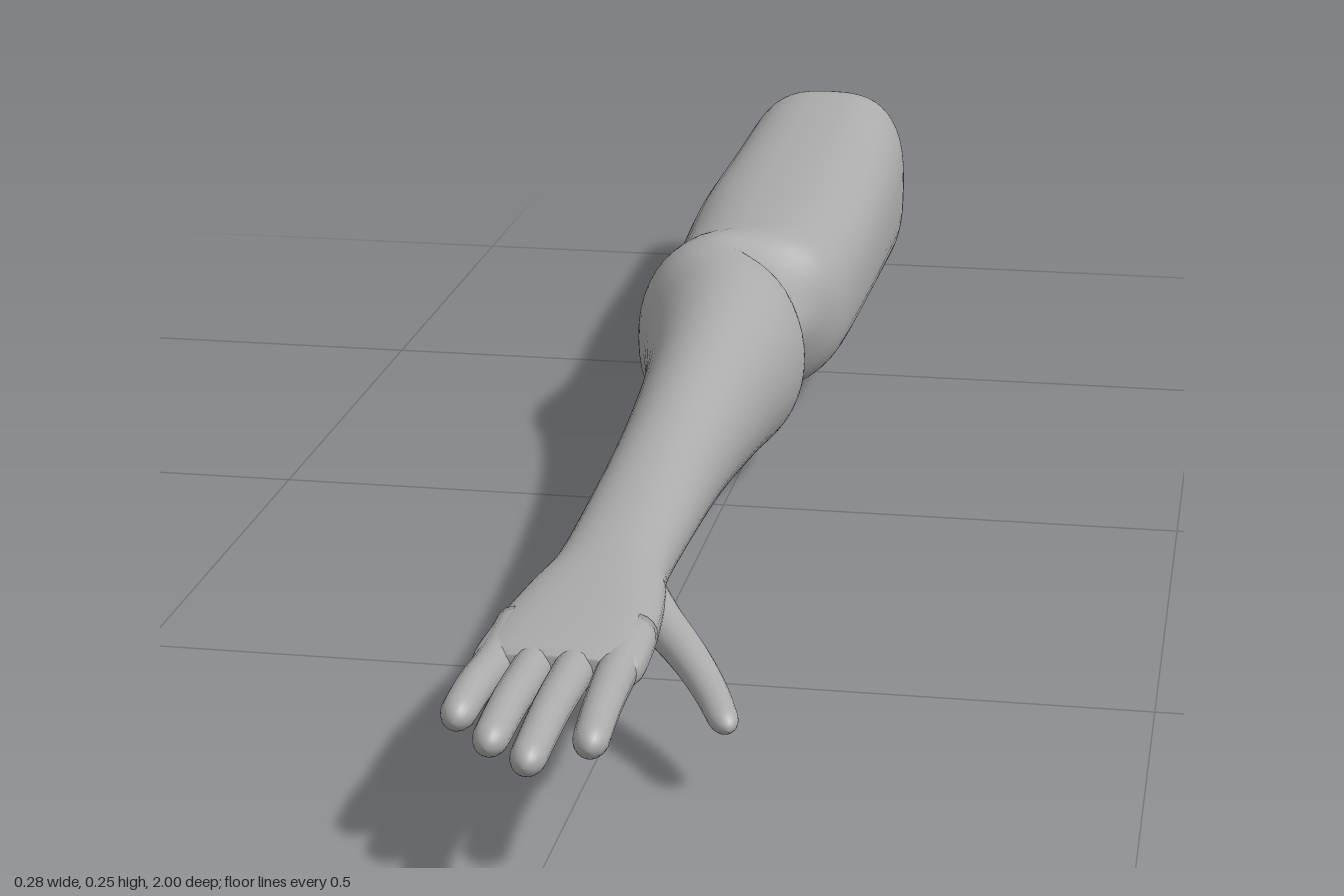
import * as THREE from 'three';

const V = (x, y, z) => new THREE.Vector3(x, y, z);

// Closed smooth skin over a list of rings of points
function loft(rings, material, name) {
  const n = rings[0].length, pos = [], idx = [];
  rings.forEach(r => r.forEach(p => pos.push(p.x, p.y, p.z)));
  const last = rings.length - 1;
  for (let i = 0; i < last; i++) {
    for (let j = 0; j < n; j++) {
      const a = i * n + j, b = i * n + (j + 1) % n;
      idx.push(a, b, a + n, b, b + n, a + n);
    }
  }
  // End caps
  for (const k of [0, last]) {
    const c = rings[k].reduce((s, p) => s.add(p), V(0, 0, 0)).divideScalar(n);
    const ci = pos.length / 3;
    pos.push(c.x, c.y, c.z);
    for (let j = 0; j < n; j++) {
      const a = k * n + j, b = k * n + (j + 1) % n;
      if (k === 0) idx.push(ci, b, a); else idx.push(ci, a, b);
    }
  }
  const g = new THREE.BufferGeometry();
  g.setAttribute('position', new THREE.Float32BufferAttribute(pos, 3));
  g.setIndex(idx);
  g.computeVertexNormals();
  const m = new THREE.Mesh(g, material);
  m.name = name;
  return m;
}

// Arm cross-sections: z, x min, x max, y min, y max, squareness
const ARM = [
  [-1.0, -0.075, 0.03, 0.05, 0.205, 2.8],
  [-0.997, -0.1, 0.058, 0.022, 0.232, 2.8],
  [-0.975, -0.118, 0.08, 0.006, 0.249, 2.8],
  [-0.92, -0.125, 0.09, 0.002, 0.255, 2.7],
  [-0.8, -0.133, 0.094, 0.015, 0.242, 2.6],
  [-0.6, -0.139, 0.095, 0.027, 0.231, 2.5],
  [-0.42, -0.131, 0.092, 0.03, 0.229, 2.4],
  [-0.34, -0.131, 0.085, 0.028, 0.231, 2.3],
  [-0.29, -0.136, 0.06, 0.023, 0.236, 2.2],
  [-0.24, -0.14, 0.047, 0.016, 0.239, 2.1],
  [-0.19, -0.132, 0.06, 0.014, 0.239, 2.1],
  [-0.13, -0.114, 0.069, 0.018, 0.234, 2],
  [0.0, -0.09, 0.057, 0.039, 0.215, 2],
  [0.2, -0.076, 0.043, 0.062, 0.193, 2],
  [0.4, -0.071, 0.038, 0.08, 0.174, 2.1],
  [0.54, -0.071, 0.038, 0.091, 0.163, 2.2],
  [0.61, -0.08, 0.049, 0.097, 0.159, 2.4],
  [0.7, -0.089, 0.058, 0.102, 0.156, 2.7],
  [0.78, -0.093, 0.061, 0.108, 0.152, 2.8],
  [0.8, -0.085, 0.054, 0.117, 0.144, 2.8],
];

function armRings(steps = 120, sides = 48) {
  const curve = pick => new THREE.CatmullRomCurve3(ARM.map(pick), false, 'catmullrom', 0.5);
  const A = curve(s => V(s[0], s[1], s[2])), B = curve(s => V(s[3], s[4], s[5]));
  const rings = [];
  for (let i = 0; i <= steps; i++) {
    const a = A.getPoint(i / steps), b = B.getPoint(i / steps);
    const z = a.x, cx = (a.y + a.z) / 2, cy = (b.x + b.y) / 2;
    const rx = (a.z - a.y) / 2, ry = (b.y - b.x) / 2, e = 2 / b.z;
    // Hollow on the inner side of the elbow
    const fold = 0.13 * Math.exp(-(((z + 0.26) / 0.045) ** 2));
    const ring = [];
    for (let j = 0; j < sides; j++) {
      const t = j / sides * Math.PI * 2, c = Math.cos(t), s = Math.sin(t);
      const k = 1 - fold * Math.max(0, c) * Math.abs(s) * 2;
      ring.push(V(cx + k * rx * Math.sign(c) * Math.abs(c) ** e,
        cy + k * ry * Math.sign(s) * Math.abs(s) ** e, z));
    }
    rings.push(ring);
  }
  return rings;
}

// Digit: tapered tube along a curve with a rounded tip
function digitRings(points, r0, r1, squash, steps = 28, sides = 18) {
  const curve = new THREE.CatmullRomCurve3(points);
  const len = curve.getLength(), rings = [];
  for (let i = 0; i <= steps; i++) {
    const u = Math.sin(i / steps * Math.PI / 2);
    const p = curve.getPointAt(u), t = curve.getTangentAt(u);
    const side = V(0, 1, 0).cross(t).normalize(), up = t.clone().cross(side);
    const d = Math.min(1, (1 - u) * len / (r1 * 1.5));
    const r = (r0 + (r1 - r0) * u) * Math.max(0.02, Math.sqrt(1 - (1 - d) ** 2));
    const ring = [];
    for (let j = 0; j < sides; j++) {
      const a = j / sides * Math.PI * 2;
      ring.push(p.clone().addScaledVector(side, Math.cos(a) * r)
        .addScaledVector(up, Math.sin(a) * r * squash));
    }
    rings.push(ring);
  }
  return rings;
}

export function createModel() {
  const skin = new THREE.MeshStandardMaterial({ color: 0xaaaaaa });
  skin.name = 'grey skin';
  const model = new THREE.Group();
  model.name = 'arm';
  model.add(loft(armRings(), skin, 'armAndPalm'));

  // Fingers: name, base x, tip x, tip z
  const fingers = [
    ['littleFinger', -0.072, -0.078, 0.92],
    ['ringFinger', -0.036, -0.038, 0.967],
    ['middleFinger', 0.001, 0.002, 1.0],
    ['indexFinger', 0.039, 0.047, 0.957],
  ];
  for (const [name, bx, tx, tz] of fingers) {
    const path = [V(bx, 0.13, 0.7), V(bx, 0.131, 0.79),
      V((bx + tx) / 2, 0.134, (0.79 + tz) / 2), V(tx, 0.128, tz)];
    model.add(loft(digitRings(path, 0.02, 0.0155, 1), skin, name));
  }

  // Thumb
  const thumb = [V(0.015, 0.121, 0.57), V(0.045, 0.112, 0.62), V(0.08, 0.097, 0.665),
    V(0.107, 0.082, 0.705), V(0.133, 0.067, 0.759)];
  model.add(loft(digitRings(thumb, 0.026, 0.013, 0.85), skin, 'thumb'));
  return model;
}
